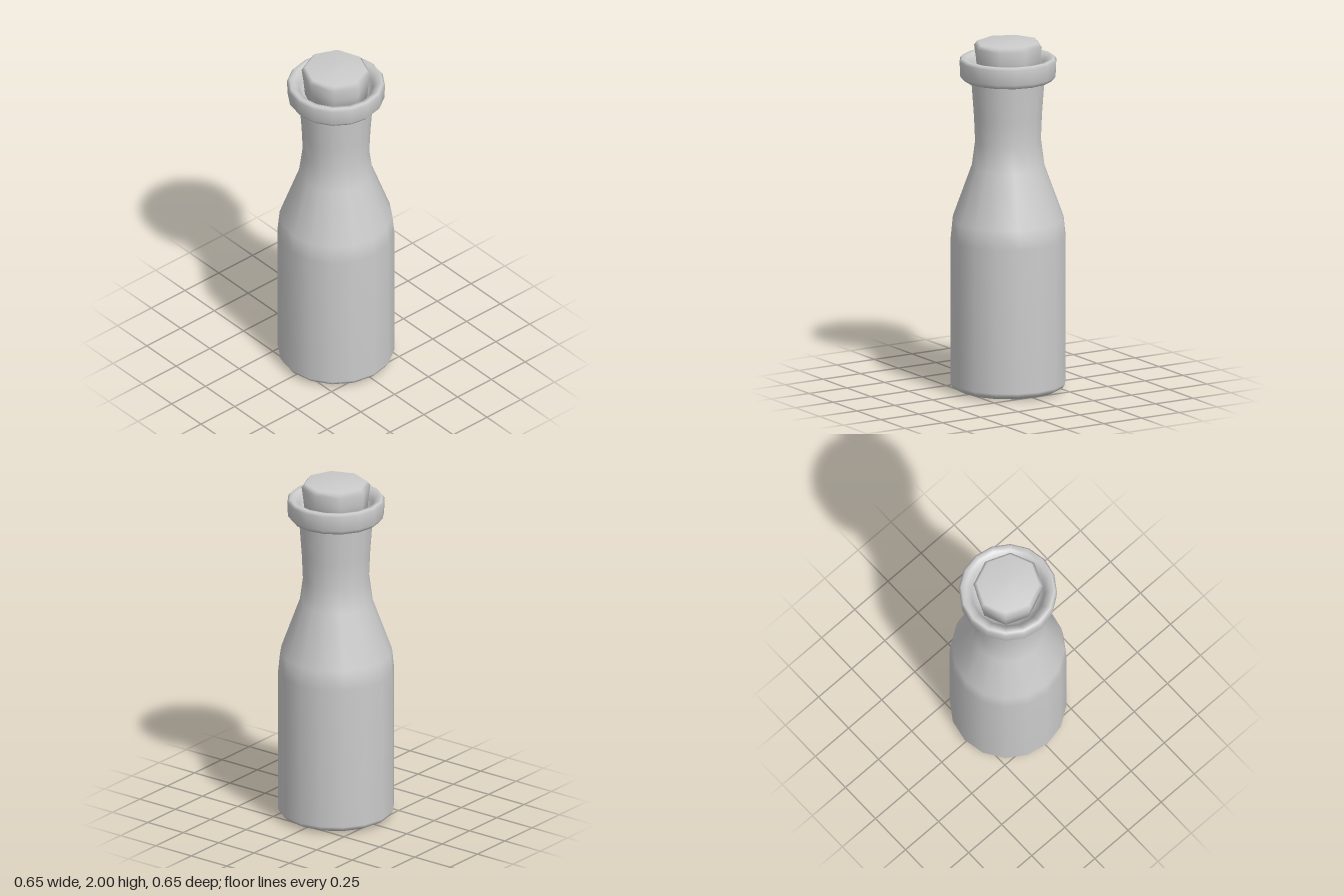
import * as THREE from 'three';

const material = new THREE.MeshStandardMaterial({ color: 0xcccccc });

// Turns a bottom-to-top [radius, height] profile around the y axis
function turned(name, profile, sides) {
  const points = profile.map(([r, y]) => new THREE.Vector2(r, y));
  const mesh = new THREE.Mesh(new THREE.LatheGeometry(points, sides), material);
  mesh.name = name;
  return mesh;
}

export function createModel() {
  const group = new THREE.Group();
  group.name = 'bottle';

  // Base, straight body, sloping shoulder and flared neck
  const body = turned('body', [
    [0, 0], [0.28, 0.005], [0.314, 0.022], [0.327, 0.045], [0.327, 0.87],
    [0.316, 0.98], [0.207, 1.28], [0.187, 1.43], [0.193, 1.57], [0.209, 1.79],
  ], 16);

  // Rounded lip, its inner wall dipping down to the stopper
  const lip = turned('lip', [
    [0.2, 1.77], [0.25, 1.78], [0.271, 1.805], [0.275, 1.89], [0.262, 1.907],
    [0.236, 1.903], [0.205, 1.87], [0.19, 1.81], [0.15, 1.79],
  ], 16);

  // Eight-sided stopper, slightly narrower in depth
  const stopper = turned('stopper', [
    [0, 1.76], [0.175, 1.77], [0.188, 1.9], [0.198, 1.972], [0.178, 1.995], [0, 2],
  ], 8);
  stopper.scale.z = 0.955;

  group.add(body, lip, stopper);
  return group;
}
